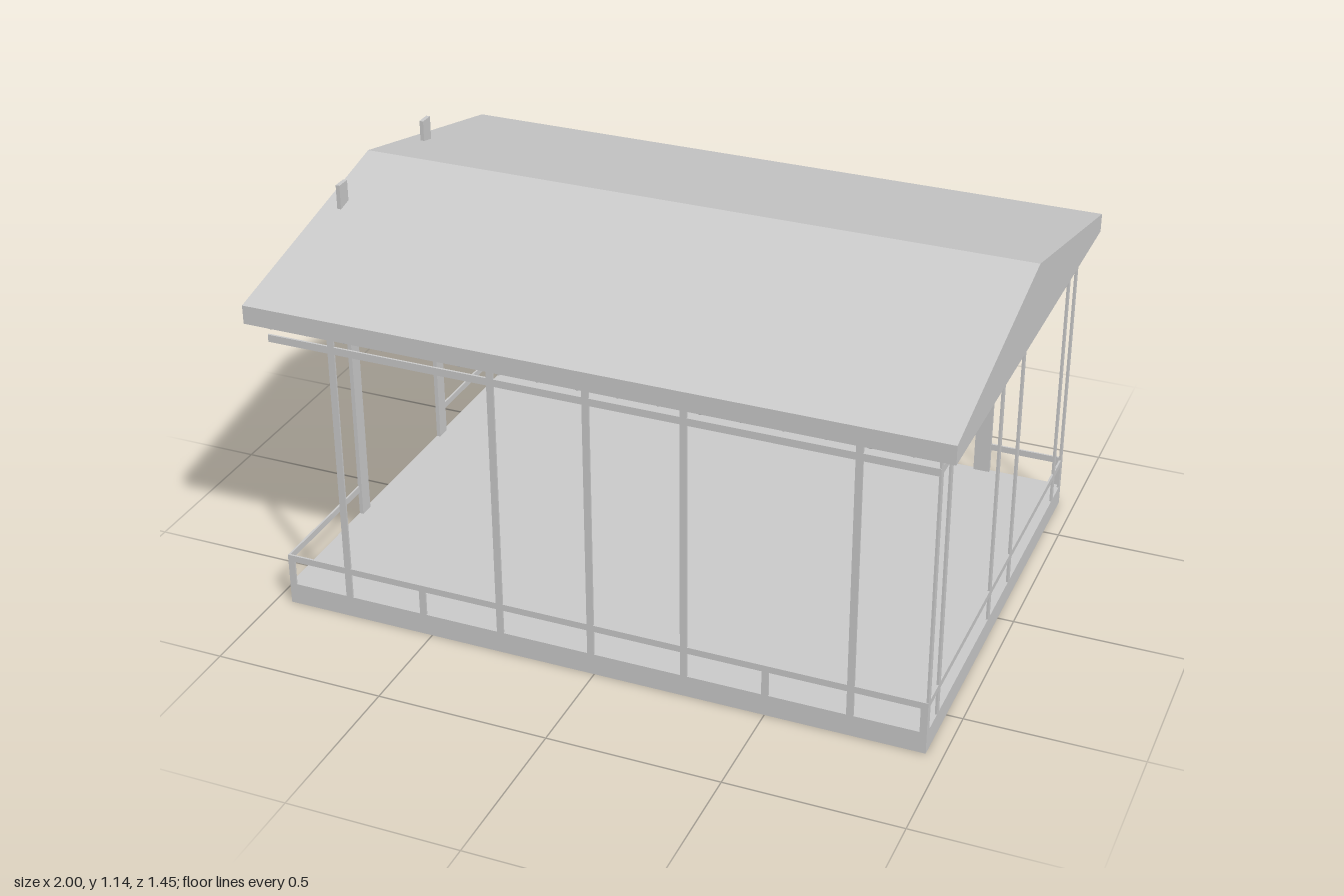
import * as THREE from 'three';

export function createModel() {
  const model = new THREE.Group();
  const mat = new THREE.MeshStandardMaterial({ color: 0xcccccc, flatShading: true });
  const add = (name, geo) => {
    const mesh = new THREE.Mesh(geo, mat);
    mesh.name = name;
    model.add(mesh);
    return mesh;
  };
  // Box given by its minimum and maximum on each axis
  const box = (name, x0, x1, y0, y1, z0, z1) => {
    const m = add(name, new THREE.BoxGeometry(x1 - x0, y1 - y0, z1 - z0));
    m.position.set((x0 + x1) / 2, (y0 + y1) / 2, (z0 + z1) / 2);
  };

  const X = 0.953, Z = 0.685, FLOOR = 0.065, T = 0.006, W = 0.01;
  const RAIL = [0.14, 0.16], TOP_RAIL = [0.845, 0.867];
  const EAVE = 0.91, EAVE_TOP = 0.965, RIDGE = 1.13, HALF = 0.725, SKIN = 0.055;
  const slope = (RIDGE - EAVE_TOP) / HALF;
  const underside = z => RIDGE - SKIN - slope * Math.abs(z);

  box('floorSlab', -X, X, 0, FLOOR, -Z, Z);

  // Roof profile drawn in (z, y) and extruded along x
  const extrudeX = (name, points, x0, depth) => {
    const shape = new THREE.Shape(points.map(p => new THREE.Vector2(...p)));
    const geo = new THREE.ExtrudeGeometry(shape, { depth, bevelEnabled: false });
    geo.rotateY(Math.PI / 2);
    add(name, geo).position.x = x0;
  };
  extrudeX('roof', [[-HALF, EAVE], [0, RIDGE - SKIN], [HALF, EAVE],
    [HALF, EAVE_TOP], [0, RIDGE], [-HALF, EAVE_TOP]], -1, 2);
  const gable = [[-HALF, EAVE], [HALF, EAVE], [0, RIDGE - SKIN]];
  extrudeX('rightGable', gable, -1, 0.008);
  extrudeX('leftGable', gable, 0.992, 0.008);

  // Round rafters under both slopes
  const angle = Math.atan(slope), run = 0.7;
  for (let i = 0; i < 17; i++) {
    for (const s of [-1, 1]) {
      const r = add('rafter', new THREE.CylinderGeometry(0.012, 0.012, run / Math.cos(angle), 12));
      r.rotation.x = s * (Math.PI / 2 + angle);
      r.position.set(-0.936 + i * 0.1137, underside(run / 2) - 0.012, s * run / 2);
    }
  }

  // Front and back walls: slim posts, stubs and rails
  const wallZ = (s, posts, stubs) => {
    const z0 = s > 0 ? Z - T : -Z, z1 = z0 + T;
    for (const x of posts) box('wallPost', x - W, x + W, FLOOR, underside(Z), z0, z1);
    for (const x of stubs) box('shortPost', x - W, x + W, FLOOR, RAIL[0], z0, z1);
    box('topRail', -X, X, ...TOP_RAIL, z0, z1);
  };
  wallZ(1, [-0.76, -0.285, -0.01, 0.265, 0.74], [-0.943, -0.525, 0.5, 0.943]);
  wallZ(-1, [-0.76, -0.285], [-0.943, -0.525, -0.01, 0.943]);
  box('frontRail', -X, X, ...RAIL, Z - T, Z);
  box('backRail', -X, 0.185, ...RAIL, -Z, -Z + T);
  box('backRail', 0.73, X, ...RAIL, -Z, -Z + T);

  // Left wall
  for (const s of [-1, 1]) {
    for (const z of [0.103, 0.585, 0.673]) {
      box('leftPost', X - T, X, FLOOR, underside(z), s * z - W, s * z + W);
    }
  }
  box('leftRail', X - T, X, ...RAIL, -Z, Z);
  box('leftTopRail', X - T, X, ...TOP_RAIL, -Z, Z);

  // Right wall with a wide opening; its posts rise through the roof
  for (const s of [-1, 1]) {
    const a = s * 0.252, b = s * 0.48;
    box('rightDoorPost', -X, -X + 0.012, FLOOR, 1.14, a - 0.022, a + 0.022);
    box('rightRail', -X, -X + T, ...RAIL, b - 0.205, b + 0.205);
    box('rightStub', -X, -X + T, FLOOR, RAIL[0], s * 0.675 - W, s * 0.675 + W);
  }
  box('rightLintel', -X, -X + 0.012, 0.73, 0.775, -0.23, 0.23);

  // Back doorway
  for (const x of [0.207, 0.705]) {
    box('backDoorPost', x - 0.025, x + 0.025, FLOOR, underside(Z), -Z, -Z + 0.012);
  }
  box('backLintel', 0.23, 0.68, 0.735, 0.78, -Z, -Z + 0.012);

  return model;
}
